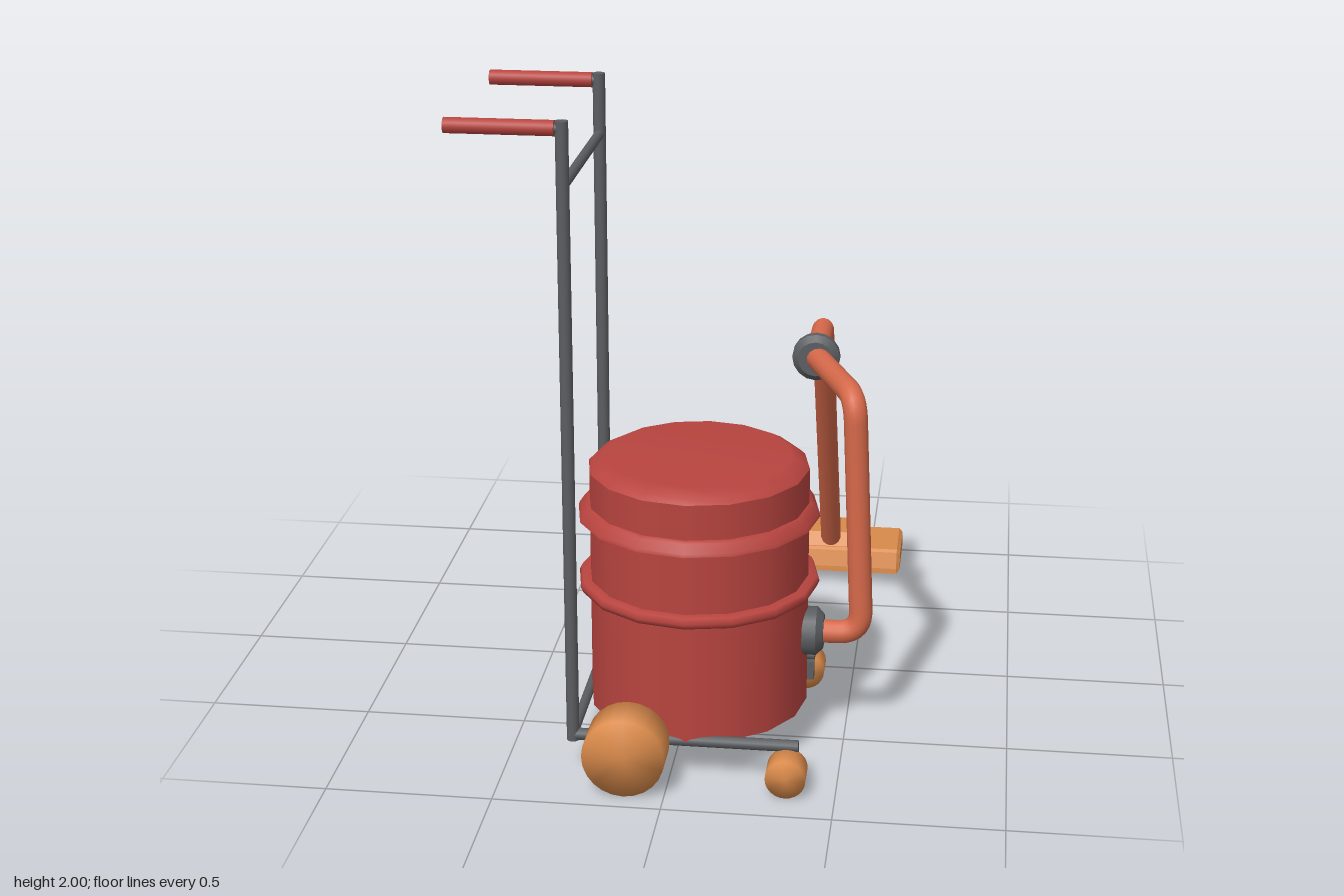
import * as THREE from 'three';
import { mergeVertices } from 'three/addons/utils/BufferGeometryUtils.js';

const V = (x, y, z) => new THREE.Vector3(x, y, z);
const paint = (color) => new THREE.MeshStandardMaterial({ color });

export function createModel() {
  const model = new THREE.Group();
  const red = paint(0xb8443f), hoseColor = paint(0xd6694a), orange = paint(0xd98a4b), dark = paint(0x5b5e61);
  const CX = 0.05, CZ = 0.485; // axis of the drum
  const railZ = [0.17, 0.8];

  const add = (name, geometry, material, parent = model) => {
    const mesh = new THREE.Mesh(geometry, material);
    mesh.name = name;
    parent.add(mesh);
    return mesh;
  };

  // Straight rod between two points
  const rod = (name, a, b, r, material, sides = 12, r2 = r) => {
    const mesh = add(name, new THREE.CylinderGeometry(r2, r, a.distanceTo(b), sides), material);
    mesh.position.copy(a).lerp(b, 0.5);
    mesh.quaternion.setFromUnitVectors(V(0, 1, 0), b.clone().sub(a).normalize());
    return mesh;
  };

  const box = (name, x, y, z, w, h, d, material) =>
    add(name, new THREE.BoxGeometry(w, h, d), material).position.set(x, y, z);

  const turned = (name, profile, material) => {
    const points = profile.map(([r, y]) => new THREE.Vector2(r, y));
    const mesh = add(name, new THREE.LatheGeometry(points, 16), material);
    mesh.position.set(CX, 0, CZ);
    return mesh;
  };

  // Wheel with normals shared between tread and faces, for a soft look
  const wheel = (name, x, r, z0, z1) => {
    let g = new THREE.CylinderGeometry(r, r, z1 - z0, 24).rotateX(Math.PI / 2);
    g.deleteAttribute('normal');
    g.deleteAttribute('uv');
    g = mergeVertices(g);
    g.computeVertexNormals();
    add(name, g, orange).position.set(x, r + 0.003, (z0 + z1) / 2);
  };

  // Drum, lid and the two rims
  turned('drumBottom', [[0, 0.13], [0.333, 0.13]], red);
  turned('drum', [[0.333, 0.13], [0.333, 0.75]], red);
  turned('drumBand', [[0.33, 0.507], [0.36, 0.509], [0.367, 0.525], [0.36, 0.541], [0.33, 0.543]], red);
  turned('lidRimUnderside', [[0.33, 0.737], [0.367, 0.737]], red);
  turned('lidRim', [[0.367, 0.737], [0.364, 0.747], [0.347, 0.772], [0.333, 0.777]], red);
  turned('lidWall', [[0.333, 0.775], [0.333, 0.885]], red);
  turned('lidTop', [[0.333, 0.885], [0.317, 0.9], [0.28, 0.92], [0, 0.922]], red);

  // Clips on the back of the drum
  for (const y of [0.755, 0.525]) {
    box('clipPlate', CX, y + 0.005, 0.132, 0.034, 0.065, 0.026, dark);
    box('clipLever', CX, y + 0.03, 0.14, 0.06, 0.016, 0.035, dark);
    box('clipHook', CX, y - 0.045, 0.147, 0.05, 0.045, 0.016, dark);
  }

  // Trolley: posts, grips, base rails, wheels and casters
  for (const z of railZ) {
    const out = z > CZ ? 1 : -1;
    rod('post', V(-0.29, 0.11, z), V(-0.29, 1.997, z), 0.019, dark);
    rod('gripCore', V(-0.622, 1.976, z), V(-0.28, 1.976, z), 0.015, dark);
    rod('grip', V(-0.62, 1.976, z), V(-0.31, 1.976, z), 0.023, red);
    rod('baseRail', V(-0.3, 0.128, z), V(0.385, 0.128, z), 0.018, dark);
    const span = (a, b) => [z + out * a, z + out * b].sort((p, q) => p - q);
    wheel('bigWheel', -0.12, 0.123, ...span(0.012, 0.138));
    wheel('caster', 0.354, 0.06, ...span(0.005, 0.092));
    box('casterBracket', 0.354, 0.085, z - out * 0.018, 0.06, 0.06, 0.036, dark);
    rod('casterAxle', V(0.354, 0.063, z - out * 0.03), V(0.354, 0.063, z + out * 0.05), 0.012, dark);
  }
  rod('upperCrossbar', V(-0.29, 1.812, railZ[0]), V(-0.29, 1.812, railZ[1]), 0.015, dark);
  rod('lowerCrossbar', V(-0.29, 0.128, railZ[0]), V(-0.29, 0.128, railZ[1]), 0.015, dark);

  // Hose with rounded bends, running from the drum to the joint
  const stops = [V(0.37, 0.36, 0.487), V(0.547, 0.36, 0.487), V(0.513, 1.117, 0.487), V(0.37, 1.117, 0.125)];
  const path = new THREE.CurvePath();
  let from = stops[0];
  for (let i = 1; i < stops.length - 1; i++) {
    const p = stops[i];
    const enter = p.clone().add(stops[i - 1].clone().sub(p).setLength(0.075));
    const leave = p.clone().add(stops[i + 1].clone().sub(p).setLength(0.075));
    path.add(new THREE.LineCurve3(from, enter));
    path.add(new THREE.QuadraticBezierCurve3(enter, p, leave));
    from = leave;
  }
  path.add(new THREE.LineCurve3(from, stops[3]));
  add('hose', new THREE.TubeGeometry(path, 90, 0.036, 14), hoseColor);

  // Collars at the drum outlet and at the joint
  rod('outletCollar', V(0.37, 0.36, 0.487), V(0.412, 0.36, 0.487), 0.074, dark, 16);
  rod('outletCollarTaper', V(0.412, 0.36, 0.487), V(0.433, 0.36, 0.487), 0.074, dark, 16, 0.052);
  rod('jointCollar', V(0.37, 1.117, 0.135), V(0.37, 1.117, 0.112), 0.074, dark, 16);
  rod('jointCollarFront', V(0.37, 1.117, 0.153), V(0.37, 1.117, 0.135), 0.055, dark, 16, 0.074);
  rod('jointCollarBack', V(0.37, 1.117, 0.112), V(0.37, 1.117, 0.1), 0.074, dark, 16, 0.06);

  // Rigid wand with a sharp elbow
  const elbow = V(0.37, 1.117, -0.152);
  rod('wandTop', V(0.37, 1.117, 0.125), elbow, 0.035, hoseColor, 14);
  rod('wand', elbow, V(0.37, 0.13, -0.747), 0.035, hoseColor, 14);
  add('wandElbow', new THREE.SphereGeometry(0.035, 14, 10), hoseColor).position.copy(elbow);

  // Floor head: sloped sections swept along x
  const sweep = (name, x0, x1, section, bevel) => {
    const shape = new THREE.Shape(section.map(([z, y]) => new THREE.Vector2(-z, y)));
    const g = new THREE.ExtrudeGeometry(shape, {
      depth: x1 - x0 - 2 * bevel, bevelEnabled: bevel > 0,
      bevelSize: bevel, bevelOffset: -bevel, bevelThickness: bevel, bevelSegments: 1,
    });
    add(name, g.rotateY(Math.PI / 2).translate(x0 + bevel, 0, 0), orange);
  };
  sweep('floorHead', 0.115, 0.617,
    [[-0.672, 0.05], [-0.934, 0.05], [-0.932, 0.068], [-0.912, 0.122], [-0.9, 0.13], [-0.702, 0.13], [-0.692, 0.122], [-0.674, 0.068]], 0.012);
  sweep('headSocket', 0.293, 0.442, [[-0.702, 0.12], [-0.915, 0.12], [-0.912, 0.132], [-0.873, 0.173], [-0.735, 0.173], [-0.702, 0.132]], 0);

  return model;
}
